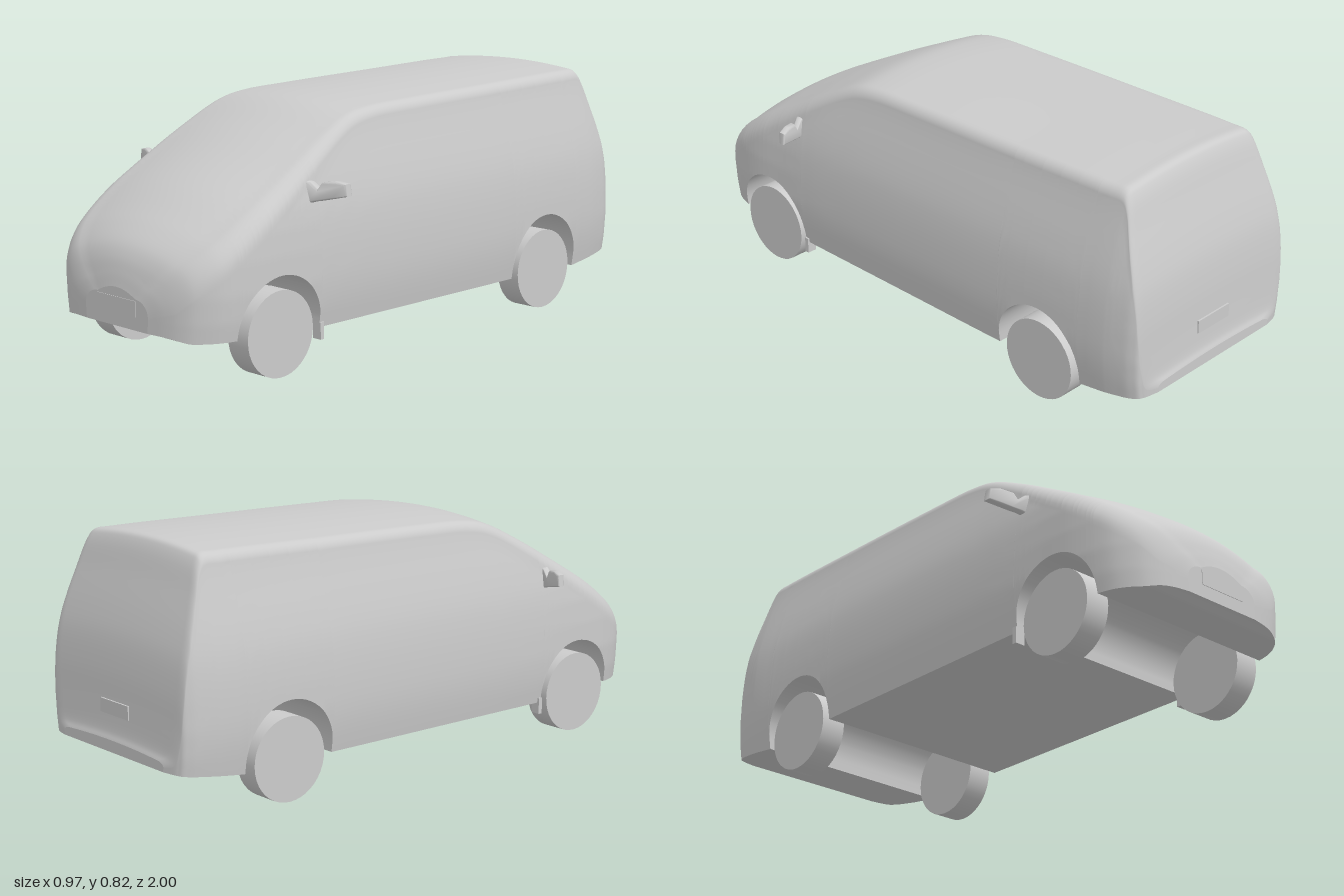
import * as THREE from 'three';
import { toCreasedNormals } from 'three/addons/utils/BufferGeometryUtils.js';

const material = new THREE.MeshStandardMaterial({ color: 0xcccccc, side: THREE.DoubleSide });
const { lerp, smoothstep, clamp } = THREE.MathUtils;

// Body line from tail to nose: z, height of the centre line, half width at the belt
const bodyLine = [
  [-1, 0.19, 0.28], [-0.992, 0.215, 0.32], [-0.985, 0.3, 0.34], [-0.978, 0.41, 0.352], [-0.965, 0.51, 0.36],
  [-0.945, 0.59, 0.368], [-0.91, 0.7, 0.375], [-0.878, 0.795, 0.38], [-0.86, 0.818, 0.382], [-0.8, 0.82, 0.385],
  [-0.4, 0.812, 0.39], [0, 0.804, 0.39], [0.2, 0.797, 0.39], [0.3, 0.782, 0.39], [0.45, 0.718, 0.39],
  [0.6, 0.642, 0.388], [0.75, 0.56, 0.384], [0.85, 0.493, 0.368], [0.9, 0.456, 0.348], [0.95, 0.41, 0.307],
  [0.975, 0.37, 0.265], [0.99, 0.325, 0.215], [1, 0.28, 0.15],
].map((p) => new THREE.Vector3(...p));

// Relative half width by height (tumblehome)
const flank = [[0.1, 0.945], [0.14, 0.96], [0.2, 0.985], [0.28, 1], [0.38, 0.995], [0.46, 0.98],
  [0.52, 0.958], [0.6, 0.91], [0.7, 0.838], [0.78, 0.785], [0.85, 0.74]];

const arches = [{ z: 0.665, r: 0.165, h: 0.167 }, { z: -0.598, r: 0.168, h: 0.175 }];

function flankAt(y) {
  const k = clamp(flank.findIndex((p) => p[0] > y), 1, flank.length - 1);
  const [a, b] = [flank[k - 1], flank[k]];
  return lerp(a[1], b[1], (y - a[0]) / (b[0] - a[0]));
}

// Lower edge of the body, raised over the wheels
function lowerEdge(z) {
  for (const a of arches) {
    const d = (z - a.z) / a.r;
    if (Math.abs(d) < 1) return 0.155 + a.h * Math.sqrt(1 - d * d);
  }
  if (z > 0.8) return 0.143 + 0.015 * smoothstep(z, 0.95, 1);
  return z < -0.7 ? 0.12 + (-0.76 - z) * 0.13 : 0.128;
}

// Stations along z, with extra ones that follow each wheel arch
function stations() {
  const line = new THREE.CatmullRomCurve3(bodyLine).getPoints(6 * (bodyLine.length - 1));
  line.sort((a, b) => a.x - b.x);
  const extra = [];
  const addAt = (z) => {
    const k = line.findIndex((p) => p.x > z);
    const [a, b] = [line[k - 1], line[k]];
    extra.push(a.clone().lerp(b, (z - a.x) / (b.x - a.x)));
  };
  for (const a of arches) {
    for (let i = 0; i <= 28; i++) addAt(a.z - 0.9999 * a.r * Math.cos((i / 28) * Math.PI));
    addAt(a.z - a.r * 1.001);
    addAt(a.z + a.r * 1.001);
  }
  return [...line, ...extra].sort((a, b) => a.x - b.x);
}

// Cross-section from the left sill over the roof to the right sill
function section({ x: z, y: top, z: width }) {
  const low = lowerEdge(z);
  const s = smoothstep(z, 0.15, 0.8);
  const crown = Math.min(lerp(0.016, 0.04, s), 0.2 * (top - low));
  const ry = Math.min(lerp(0.045, 0.085, s), 0.4 * (top - low));
  const shoulder = top - crown - ry;
  const edge = width * flankAt(shoulder);
  const rx = Math.min(lerp(0.04, 0.09, s), edge * 0.4);
  const half = [];
  for (let i = 0; i < 14; i++) {
    const y = lerp(low, shoulder, i / 14);
    half.push([width * flankAt(y), y]);
  }
  for (let i = 0; i < 7; i++) {
    const a = (i / 7) * Math.PI / 2;
    half.push([edge - rx * (1 - Math.cos(a)), shoulder + ry * Math.sin(a)]);
  }
  for (let i = 0; i < 8; i++) {
    const t = 1 - i / 8;
    half.push([(edge - rx) * t, top - crown * t * t]);
  }
  const mirrored = half.map(([x, y]) => [-x, y]).reverse();
  return [...half, [0, top], ...mirrored].map(([x, y]) => new THREE.Vector3(x, y, z));
}

function loft(rows) {
  const n = rows[0].length;
  const index = [];
  for (let i = 0; i < rows.length - 1; i++) {
    for (let j = 0; j < n - 1; j++) {
      const a = i * n + j;
      index.push(a, a + 1, a + n, a + 1, a + n + 1, a + n);
    }
  }
  const geometry = new THREE.BufferGeometry().setFromPoints(rows.flat());
  geometry.setIndex(index);
  geometry.computeVertexNormals();
  return geometry;
}

export function createModel() {
  const group = new THREE.Group();
  const add = (name, geometry, x = 0, y = 0, z = 0) => {
    const mesh = new THREE.Mesh(geometry, material);
    mesh.name = name;
    mesh.position.set(x, y, z);
    group.add(mesh);
    return mesh;
  };

  // Body shell, underside with arched recesses, and end faces
  const rows = stations().map(section);
  add('bodyShell', loft(rows));
  const floor = loft(rows.map((r) => [r[r.length - 1], r[0]]));
  add('underbody', toCreasedNormals(floor, 0.6));
  const endFace = (row) => new THREE.ShapeGeometry(new THREE.Shape(row.map((p) => new THREE.Vector2(p.x, p.y))));
  add('noseFace', endFace(rows[rows.length - 1]), 0, 0, 1);
  add('tailFace', endFace(rows[0]), 0, 0, -1);

  // Plates
  add('frontPlate', new THREE.BoxGeometry(0.18, 0.05, 0.012), 0.003, 0.225, 0.996);
  add('rearPlate', new THREE.BoxGeometry(0.15, 0.045, 0.012), 0, 0.29, -0.984);

  // Wheels
  const wheel = new THREE.CylinderGeometry(0.137, 0.137, 0.088, 40).rotateZ(Math.PI / 2);
  for (const side of [1, -1]) {
    add(side > 0 ? 'frontLeftWheel' : 'frontRightWheel', wheel, side * 0.33, 0.137, 0.665);
    add(side > 0 ? 'rearLeftWheel' : 'rearRightWheel', wheel, side * 0.33, 0.137, -0.598);
    add('mudFlap', new THREE.BoxGeometry(0.035, 0.055, 0.015), side * 0.363, 0.117, 0.493);
  }

  // Door mirrors: outline swept back with distance from the body
  const outline = [[0.345, 0.59], [0.365, 0.585], [0.392, 0.562], [0.408, 0.586], [0.445, 0.592], [0.474, 0.586],
    [0.478, 0.556], [0.44, 0.547], [0.41, 0.54], [0.38, 0.534], [0.345, 0.52]];
  for (const side of [1, -1]) {
    const shape = new THREE.Shape(outline.map(([x, y]) => new THREE.Vector2(side * x, y)));
    const geometry = new THREE.ExtrudeGeometry(shape, {
      depth: 0.012, bevelThickness: 0.008, bevelSize: 0.005, bevelSegments: 3,
    });
    const pos = geometry.attributes.position;
    for (let i = 0; i < pos.count; i++) {
      pos.setZ(i, pos.getZ(i) + 0.52 - (Math.abs(pos.getX(i)) - 0.36) * 0.4);
    }
    add(side > 0 ? 'leftMirror' : 'rightMirror', toCreasedNormals(geometry, 0.9));
  }
  return group;
}
